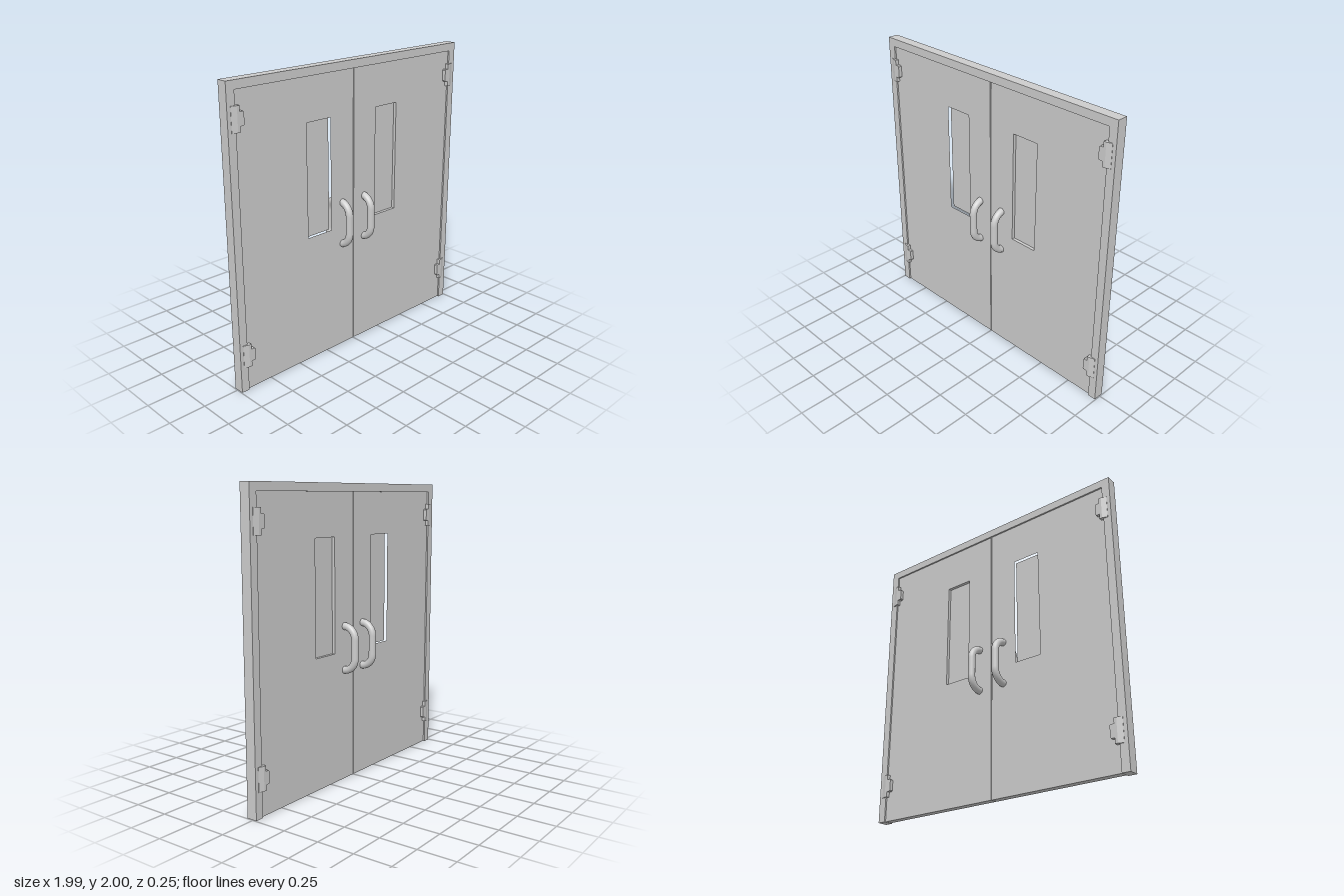
import * as THREE from 'three';

const grey = new THREE.MeshStandardMaterial({ color: 0xcccccc });
const white = new THREE.MeshStandardMaterial({ color: 0xffffff });

const MID = 0.01; // z of the centre plane of the frame and doors
const FRAME = { w: 0.995, h: 2, inX: 0.938, inY: 1.945, depth: 0.072 };
const DOOR = { depth: 0.05, gap: 0.003 };
const WIN = { x0: 0.204, x1: 0.404, y0: 0.89, y1: 1.657 };

function add(parent, name, geometry, material = grey) {
  const mesh = new THREE.Mesh(geometry, material);
  mesh.name = name;
  parent.add(mesh);
  return mesh;
}

// Flat outline in x/y extruded to a depth centred on MID
function slab(points, depth, hole) {
  const toVec = ([x, y]) => new THREE.Vector2(x, y);
  const shape = new THREE.Shape(points.map(toVec));
  if (hole) shape.holes.push(new THREE.Path(hole.map(toVec)));
  const g = new THREE.ExtrudeGeometry(shape, { depth, bevelEnabled: false });
  return g.translate(0, 0, MID - depth / 2);
}

const rect = (x0, x1, y0, y1) => [[x0, y0], [x1, y0], [x1, y1], [x0, y1]];

// Hinge knuckle: plan outline with sloped outer edges, extruded upward
function knuckle(side, y0, y1) {
  const t = 0.05;
  const plan = [[0.97, -0.038], [0.97, 0.038], [0.935, t], [0.917, t], [0.917, -t], [0.935, -t]];
  const shape = new THREE.Shape(plan.map(([x, z]) => new THREE.Vector2(side * x, -z - MID)));
  const g = new THREE.ExtrudeGeometry(shape, { depth: y1 - y0, bevelEnabled: false });
  return g.rotateX(-Math.PI / 2).translate(0, y0, 0);
}

// D-shaped pull handle: straight grip with rounded corners running into the door
function pull(x, face) {
  const p = (y, z) => new THREE.Vector3(x, y, face * z);
  const top = 1.063, bottom = 0.765, out = 0.102, r = 0.085, root = 0.018;
  const path = new THREE.CurvePath();
  path.add(new THREE.QuadraticBezierCurve3(p(top, root - 0.015), p(top, root - 0.01), p(top, root)));
  path.add(new THREE.CubicBezierCurve3(p(top, root), p(top, root + r * 0.55),
    p(top - r * 0.45, out), p(top - r, out)));
  path.add(new THREE.LineCurve3(p(top - r, out), p(bottom + r, out)));
  path.add(new THREE.CubicBezierCurve3(p(bottom + r, out), p(bottom + r * 0.45, out),
    p(bottom, root + r * 0.55), p(bottom, root)));
  path.add(new THREE.LineCurve3(p(bottom, root), p(bottom, root - 0.015)));
  return new THREE.TubeGeometry(path, 48, 0.025, 16, false);
}

export function createModel() {
  const model = new THREE.Group();
  model.name = 'doubleDoor';

  // Door frame: two jambs and a head in one outline
  const { w, h, inX, inY, depth } = FRAME;
  add(model, 'doorFrame', slab([[-w, 0], [-inX, 0], [-inX, inY], [inX, inY],
    [inX, 0], [w, 0], [w, h], [-w, h]], depth));

  for (const side of [1, -1]) {
    const label = side > 0 ? 'left' : 'right';
    const leaf = new THREE.Group();
    leaf.name = label + 'Door';
    model.add(leaf);
    const mirror = (pts) => pts.map(([x, y]) => [side * x, y]);

    // Door panel with its window opening and pane
    add(leaf, label + 'DoorPanel', slab(
      mirror(rect(DOOR.gap, inX, 0.002, inY)), DOOR.depth,
      mirror(rect(WIN.x0, WIN.x1, WIN.y0, WIN.y1))));
    add(leaf, label + 'WindowPane',
      slab(mirror(rect(WIN.x0, WIN.x1, WIN.y0, WIN.y1)), 0.006), white);

    // Hinges: tall knuckle and shorter leaf plate, showing on both faces
    for (const [pos, y] of [['upper', 1.776], ['lower', 0.25]]) {
      const hinge = new THREE.Group();
      hinge.name = label + '_' + pos + 'Hinge';
      add(hinge, 'hingeKnuckle', knuckle(side, y - 0.079, y + 0.079));
      const c = 0.006;
      add(hinge, 'hingePlate', slab(mirror([[0.918, y - 0.043], [0.918, y + 0.043],
        [0.888 + c, y + 0.043], [0.888, y + 0.043 - c],
        [0.888, y - 0.043 + c], [0.888 + c, y - 0.043]]), 0.1));
      leaf.add(hinge);
    }

    // Pull handles on the front and back faces
    add(leaf, label + 'FrontHandle', pull(side * 0.101, 1));
    add(leaf, label + 'BackHandle', pull(side * 0.101, -1));
  }
  return model;
}
